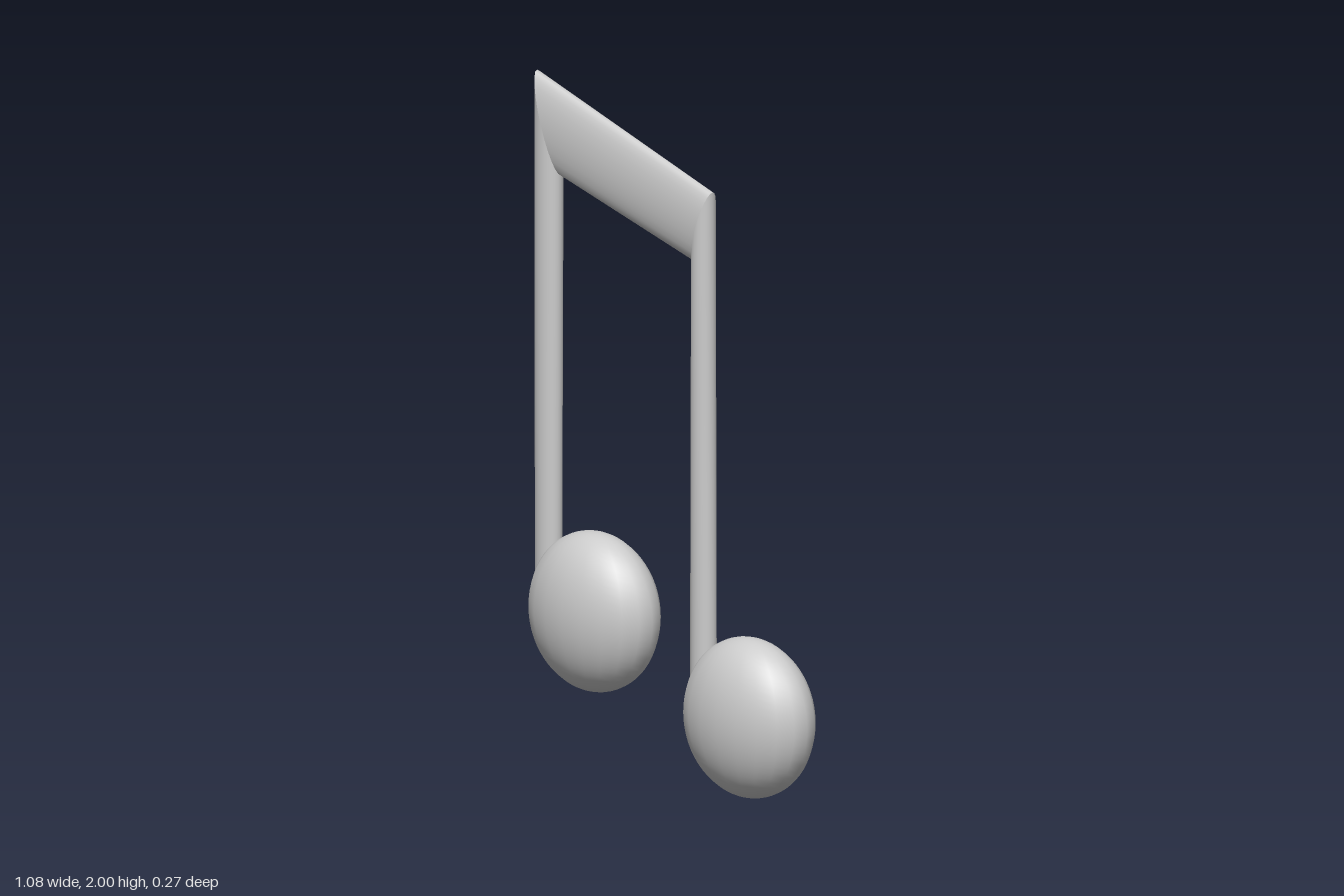
import * as THREE from 'three';

const SIDES = 24;
const HALF_DEPTH = 0.035;

// Elliptical tube between two slanted rings; each ring is [outerX, outerY, innerX, innerY]
function miteredTube(name, from, to, material) {
  const positions = [], index = [];
  for (const [ox, oy, ix, iy] of [from, to]) {
    for (let j = 0; j < SIDES; j++) {
      const a = (j / SIDES) * Math.PI * 2;
      const t = (1 + Math.cos(a)) / 2;
      positions.push(ix + (ox - ix) * t, iy + (oy - iy) * t, HALF_DEPTH * Math.sin(a));
    }
  }
  for (let j = 0; j < SIDES; j++) {
    const k = (j + 1) % SIDES;
    index.push(j, k, SIDES + j, k, SIDES + k, SIDES + j);
  }
  const geometry = new THREE.BufferGeometry();
  geometry.setAttribute('position', new THREE.Float32BufferAttribute(positions, 3));
  geometry.setIndex(index);
  geometry.computeVertexNormals();
  const mesh = new THREE.Mesh(geometry, material);
  mesh.name = name;
  return mesh;
}

export function createModel() {
  const group = new THREE.Group();
  group.name = 'beamedNotes';
  const material = new THREE.MeshStandardMaterial({ color: 0xcccccc, side: THREE.DoubleSide });

  // Stems and beam share mitred rings at the two upper corners
  const rings = [
    [-0.535, 0.43, -0.45, 0.43],
    [-0.538, 2.0, -0.443, 1.705],
    [0.16, 1.747, 0.088, 1.537],
    [0.166, 0.215, 0.082, 0.215],
  ];
  ['rightStem', 'beam', 'leftStem'].forEach((name, i) => {
    group.add(miteredTube(name, rings[i], rings[i + 1], material));
  });

  // Flattened round note heads
  const headGeometry = new THREE.SphereGeometry(1, 20, 32);
  for (const [name, x, y] of [['rightNoteHead', -0.309, 0.45], ['leftNoteHead', 0.307, 0.234]]) {
    const head = new THREE.Mesh(headGeometry, material);
    head.name = name;
    head.position.set(x, y, 0);
    head.scale.set(0.23, 0.234, 0.136);
    group.add(head);
  }
  return group;
}
